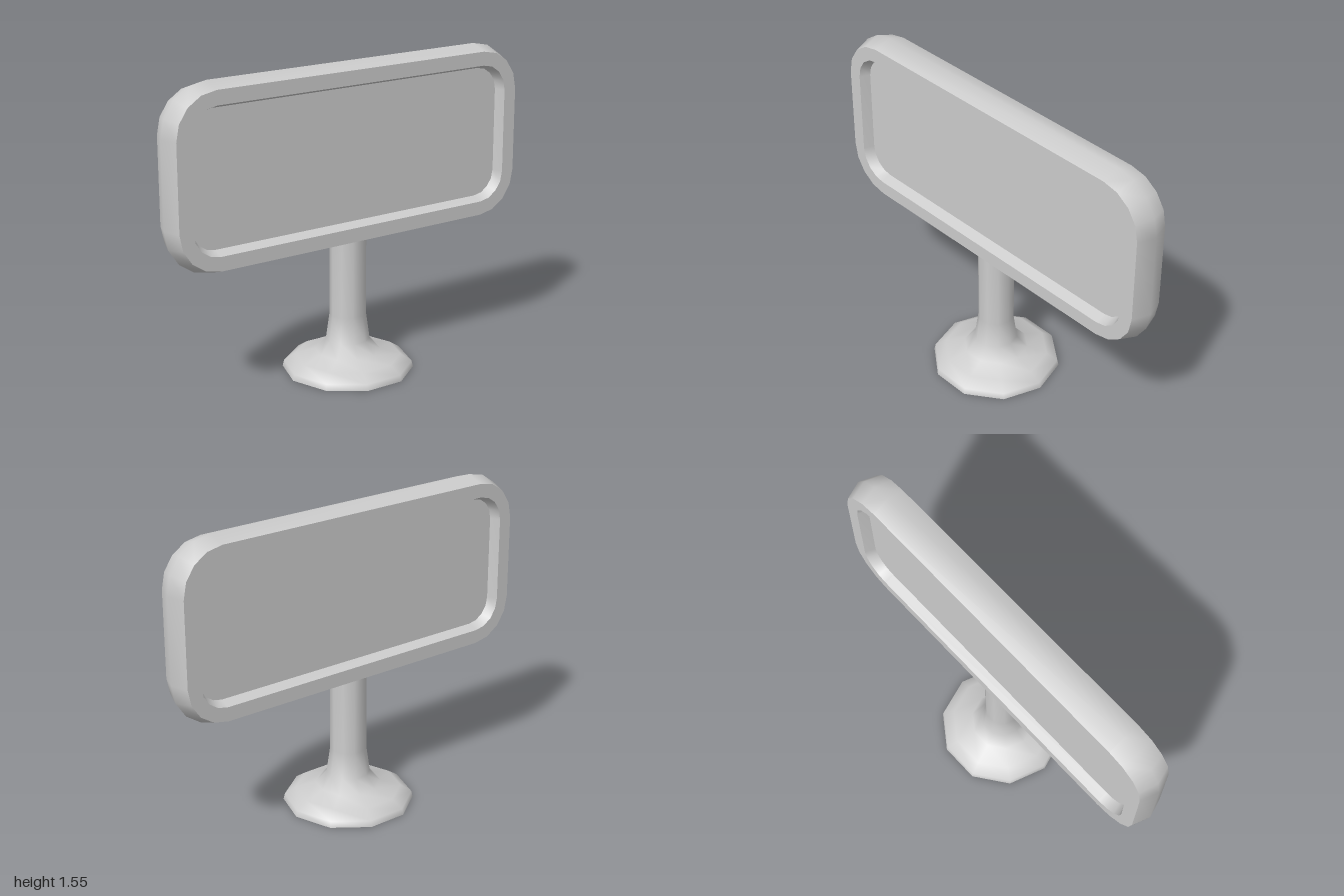
import * as THREE from 'three';

const CENTER_Y = 1.096;
const HALF_X = 0.76, HALF_Y = 0.21; // corner arc centres shared by all outlines

// Rounded rectangle outline, counter-clockwise, with faceted corners
function outline(r, steps = 4) {
  const pts = [];
  const corners = [[1, 1], [-1, 1], [-1, -1], [1, -1]];
  corners.forEach(([sx, sy], q) => {
    for (let i = 0; i <= steps; i++) {
      const a = (q + i / steps) * Math.PI / 2;
      pts.push(new THREE.Vector2(sx * HALF_X + r * Math.cos(a), sy * HALF_Y + r * Math.sin(a)));
    }
  });
  return pts;
}

// Smooth band through a list of [corner radius, z] outlines
function loft(rings) {
  const pos = [], idx = [];
  let n = 0;
  for (const [r, z] of rings) {
    const pts = outline(r);
    n = pts.length;
    pts.forEach(p => pos.push(p.x, p.y, z));
  }
  for (let k = 0; k < rings.length - 1; k++) {
    for (let i = 0; i < n; i++) {
      const j = (i + 1) % n;
      const a = k * n + i, b = k * n + j, c = b + n, d = a + n;
      idx.push(a, b, c, a, c, d);
    }
  }
  const g = new THREE.BufferGeometry();
  g.setAttribute('position', new THREE.Float32BufferAttribute(pos, 3));
  g.setIndex(idx);
  g.computeVertexNormals();
  return g;
}

export function createModel() {
  const model = new THREE.Group();
  model.name = 'signStand';
  const grey = new THREE.MeshStandardMaterial({ color: 0xcccccc, side: THREE.DoubleSide });
  grey.name = 'light grey';

  const add = (parent, name, geometry) => {
    const mesh = new THREE.Mesh(geometry, grey);
    mesh.name = name;
    parent.add(mesh);
    return mesh;
  };

  // Sign head: ridged rim with a recessed panel on each side
  const head = new THREE.Group();
  head.name = 'signHead';
  head.position.y = CENTER_Y;
  model.add(head);
  add(head, 'rim', loft([[0.21, -0.088], [0.24, 0], [0.21, 0.088]]));

  for (const side of ['front', 'back']) {
    const face = new THREE.Group();
    face.name = side + 'Face';
    if (side === 'back') face.rotation.y = Math.PI;
    head.add(face);
    add(face, side + 'Frame', loft([[0.21, 0.088], [0.14, 0.088]]));
    add(face, side + 'RecessWall', loft([[0.14, 0.088], [0.12, 0.037]]));
    const panel = add(face, side + 'Panel', new THREE.ShapeGeometry(new THREE.Shape(outline(0.12))));
    panel.position.z = 0.037;
  }

  // Ten-sided flared foot and post, open underneath
  const profile = [
    [0.325, 0], [0.318, 0.03], [0.262, 0.068], [0.162, 0.095],
    [0.108, 0.155], [0.09, 0.285], [0.09, 0.72],
  ].map(([r, y]) => new THREE.Vector2(r, y));
  add(model, 'pedestal', new THREE.LatheGeometry(profile, 10, Math.PI / 2));

  return model;
}
